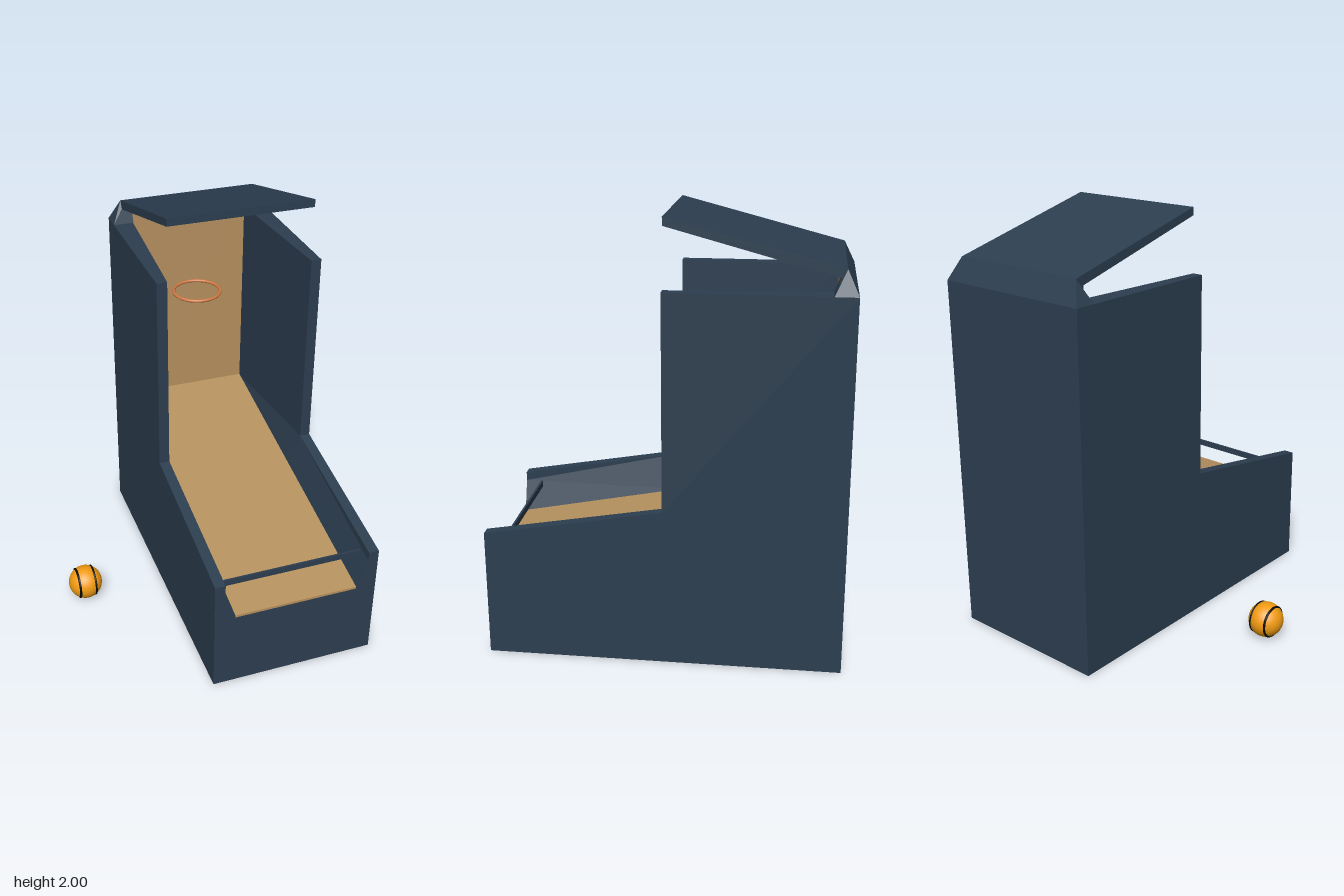
import * as THREE from 'three';
import { ConvexGeometry } from 'three/addons/geometries/ConvexGeometry.js';

const paint = (color, opts = {}) => new THREE.MeshStandardMaterial({ color, ...opts });
const navy = paint(0x2c3e50);
const navyThin = paint(0x2c3e50, { side: THREE.DoubleSide, flatShading: true });
const wood = paint(0xb6915f);
const copper = paint(0xd07a45);
const orange = paint(0xf39c12);
const black = paint(0x080808);

function add(parent, name, geometry, material) {
  const mesh = new THREE.Mesh(geometry, material);
  mesh.name = name;
  parent.add(mesh);
  return mesh;
}

// Extrude a [z, y] profile across x, from x0 to x1
function slab(profile, x0, x1) {
  const shape = new THREE.Shape(profile.map(([z, y]) => new THREE.Vector2(z, y)));
  const geometry = new THREE.ExtrudeGeometry(shape, { depth: x1 - x0, bevelEnabled: false });
  return geometry.rotateY(-Math.PI / 2).translate(x1, 0, 0);
}

// Flat facets, each a convex loop of [x, y, z] corners
function facets(loops) {
  const pos = [];
  for (const p of loops)
    for (let i = 1; i < p.length - 1; i++) pos.push(...p[0], ...p[i], ...p[i + 1]);
  const geometry = new THREE.BufferGeometry();
  geometry.setAttribute('position', new THREE.Float32BufferAttribute(pos, 3));
  geometry.computeVertexNormals();
  return geometry;
}

export function createModel() {
  const model = new THREE.Group();
  const cabinet = new THREE.Group();
  cabinet.name = 'cabinet';
  cabinet.position.x = 0.245;
  model.add(cabinet);

  const outer = 0.4, inner = 0.35, lane = 0.3; // half widths
  const back = -0.73;

  // Solid core under the ramp and behind the back board
  add(cabinet, 'core', slab([
    [0.8, 0], [0.8, 0.4], [back, 0.7], [back, 1.77], [-0.75, 1.805], [-0.8, 1.7], [-0.8, 0],
  ], -inner, inner), navy);

  // Wooden ramp and back board
  add(cabinet, 'ramp', slab([
    [0.801, 0.39], [0.801, 0.402], [back, 0.702], [back, 0.69],
  ], -lane, lane), wood);
  add(cabinet, 'backBoard', slab([
    [back - 0.004, 0.69], [back + 0.003, 0.69], [back + 0.003, 1.77], [back - 0.004, 1.77],
  ], -lane, lane), wood);

  // Tilted roof
  add(cabinet, 'roof', slab([
    [-0.75, 1.805], [-0.725, 1.767], [0, 1.963], [0, 2],
  ], -inner, inner), navy);

  for (const s of [-1, 1]) {
    const side = s > 0 ? 'left' : 'right';
    const a = s * inner, b = s * lane;

    // Outer side wall
    add(cabinet, side + 'Wall', slab([
      [0.8, 0], [0.8, 0.59], [0, 0.73], [0, 1.7], [-0.8, 1.7], [-0.8, 0],
    ], s > 0 ? inner : -outer, s > 0 ? outer : -inner), navy);

    // Lining that narrows toward the ramp and the back board
    add(cabinet, side + 'Lining', facets([
      [[a, 0.547, 0.8], [a, 0.73, 0], [b, 0.557, 0], [b, 0.4, 0.8]],
      [[a, 0.73, 0], [b, 0.7, back], [b, 0.557, 0]],
      [[a, 0.73, 0], [a, 1.7, 0], [b, 1.7, back], [b, 0.7, back]],
      [[a, 1.7, 0], [a, 1.7, back], [b, 1.7, back]],
      [[a, 0.4, 0.8], [b, 0.4, 0.8], [a, 0.547, 0.8]],
    ]), navyThin);

    // Bevelled shoulder carrying the roof
    const shoulder = [
      [s * outer, 1.7, -0.8], [s * outer, 1.7, -0.7], [b, 1.7, -0.8], [b, 1.7, -0.7],
      [a, 1.77, -0.725], [b, 1.77, -0.725], [a, 1.805, -0.75], [b, 1.805, -0.75],
    ].map((p) => new THREE.Vector3(...p));
    add(cabinet, side + 'Shoulder', new ConvexGeometry(shoulder), navy);
  }

  // Thin rail across the front of the lane
  add(cabinet, 'frontRail', new THREE.BoxGeometry(2 * inner - 0.01, 0.03, 0.01), navy)
    .position.set(0, 0.535, 0.72);

  // Hoop against the back board
  add(cabinet, 'hoop', new THREE.TorusGeometry(0.12, 0.008, 10, 48).rotateX(Math.PI / 2), copper)
    .position.set(0, 1.325, -0.6);

  // Ball with two dark seams
  const ball = new THREE.Group();
  ball.name = 'ball';
  ball.position.set(-0.563, 0.085, 0);
  model.add(ball);
  const radius = 0.084, seamX = 0.04;
  add(ball, 'ballBody', new THREE.SphereGeometry(radius, 32, 24), orange);
  for (const s of [-1, 1])
    add(ball, 'ballSeam', new THREE.TorusGeometry(
      Math.sqrt(radius ** 2 - seamX ** 2) - 0.002, 0.006, 8, 48).rotateY(Math.PI / 2), black)
      .position.x = s * seamX;

  return model;
}
